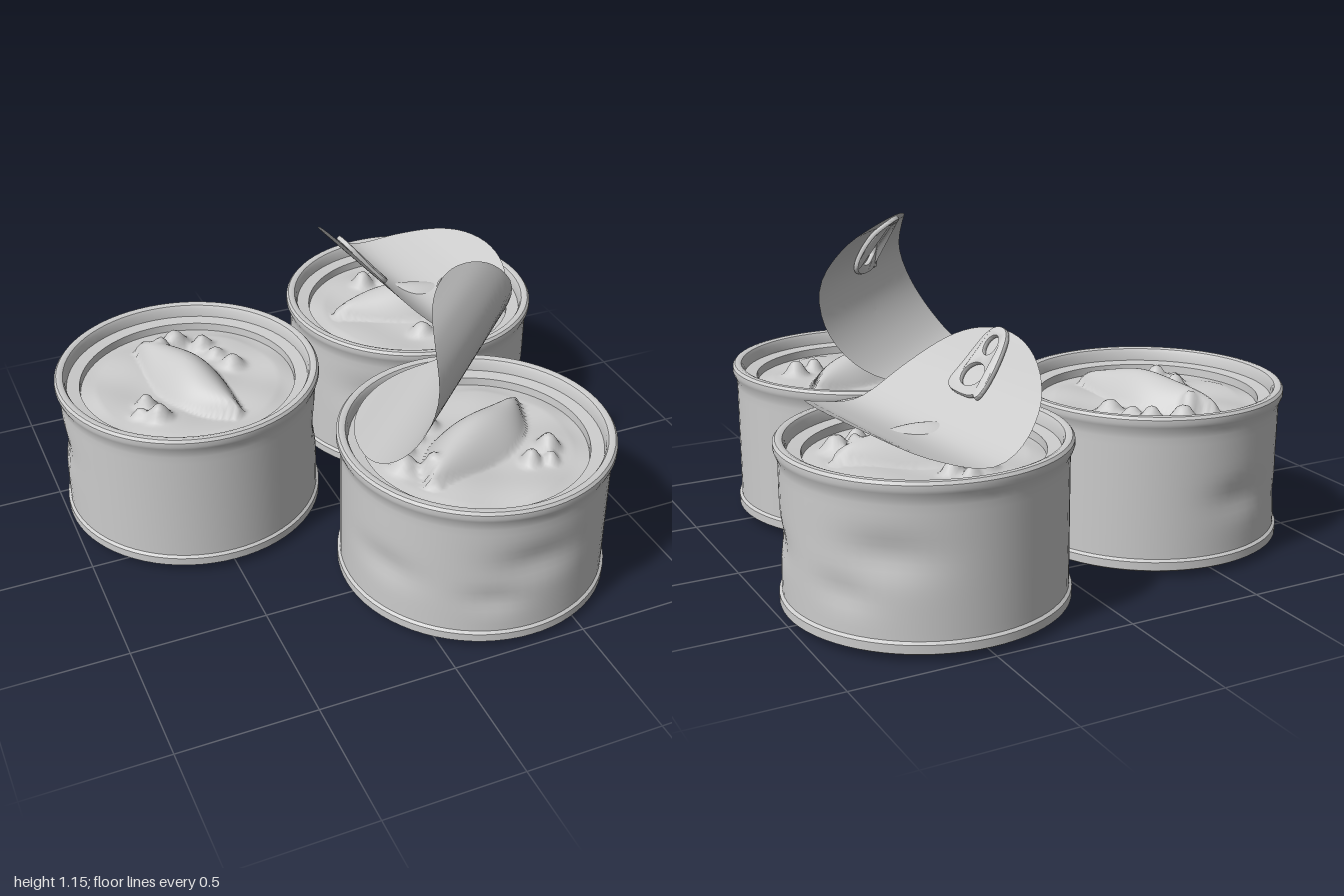
import * as THREE from 'three';
import { mergeVertices, toCreasedNormals } from 'three/addons/utils/BufferGeometryUtils.js';

const metal = new THREE.MeshStandardMaterial({ color: 0xcccccc });
const sheet = new THREE.MeshStandardMaterial({ color: 0xcccccc, side: THREE.DoubleSide });
const LID_R = 0.445;

// Apply a rule to every vertex
function deform(geo, rule) {
  const p = geo.attributes.position;
  const v = new THREE.Vector3();
  for (let i = 0; i < p.count; i++) {
    rule(v.fromBufferAttribute(p, i));
    p.setXYZ(i, v.x, v.y, v.z);
  }
  return geo;
}

function named(name, geo, mat) {
  const m = new THREE.Mesh(geo, mat);
  m.name = name;
  return m;
}

// Finely divided flat disc facing up
function disc(r, rings, segs) {
  const g = new THREE.RingGeometry(0.0005, r, segs, rings).rotateX(-Math.PI / 2);
  g.deleteAttribute('uv');
  g.deleteAttribute('normal');
  return mergeVertices(g);
}

// Can shell: domed base, bottom bead, dented wall, rolled rim, inner ledge
function shellGeometry() {
  const pts = [[0, 0], [0.12, 0.003], [0.25, 0.012], [0.35, 0.02], [0.478, 0.022],
    [0.491, 0.03], [0.491, 0.06], [0.481, 0.068]];
  for (let i = 1; i <= 16; i++) pts.push([0.481, 0.068 + i * 0.0275]);
  pts.push([0.483, 0.53], [0.492, 0.55], [0.496, 0.562], [0.495, 0.578], [0.487, 0.588],
    [0.475, 0.59], [0.463, 0.585], [0.456, 0.572], [0.452, 0.54], [0.405, 0.535], [0.4, 0.47]);
  const g = new THREE.LatheGeometry(pts.map(p => new THREE.Vector2(...p)), 72);
  // angle, height, angular width, height spread, depth
  const dents = [[3.39, 0.34, 0.3, 0.07, 0.02], [0.24, 0.35, 0.3, 0.08, 0.02],
    [-1.75, 0.26, 0.25, 0.06, 0.014], [3.7, 0.2, 0.2, 0.05, 0.012]];
  deform(g, v => {
    const r = Math.hypot(v.x, v.z);
    if (r < 0.47 || v.y < 0.07 || v.y > 0.52) return;
    const a = Math.atan2(v.z, v.x);
    let d = 0;
    for (const [da, dy, wa, wy, depth] of dents) {
      const t = Math.atan2(Math.sin(a - da), Math.cos(a - da)) / wa;
      d += depth * Math.exp(-t * t - ((v.y - dy) / wy) ** 2);
    }
    const k = 1 - d * Math.min(1, (v.y - 0.068) / 0.05) / r;
    v.x *= k;
    v.z *= k;
  });
  return toCreasedNormals(g, 0.6);
}

// Food: gently uneven surface with one long fillet and small chunks
function foodGeometry() {
  const chunks = [[0.04, -0.29, 0.045, 0.06], [-0.02, -0.24, 0.03, 0.04], [-0.19, 0.09, 0.032, 0.05],
    [-0.17, 0.19, 0.038, 0.055], [0.13, -0.23, 0.035, 0.05], [0.2, -0.06, 0.04, 0.045],
    [0.16, -0.15, 0.03, 0.03], [-0.23, 0.15, 0.025, 0.035]];
  const c = Math.cos(1.164), s = Math.sin(1.164);
  const g = deform(disc(0.404, 40, 96), v => {
    const r = Math.hypot(v.x, v.z);
    let y = 0.512 + 0.008 * Math.sin(v.x * 17 + 1) * Math.cos(v.z * 15);
    for (const [x, z, w, h] of chunks) {
      y += h * Math.exp(-((((v.x - x) ** 2 + (v.z - z) ** 2) / (w * w)) ** 1.5));
    }
    const p = v.x * c + v.z * s, q = v.z * c - v.x * s - 0.025 * Math.sin(p * 8);
    const k = 1 - (p / 0.33) ** 2;
    if (k > 0.01) y += 0.1 * Math.sqrt(k) * Math.max(0, 1 - (q / (0.13 * k)) ** 2);
    const edge = Math.min(1, (0.404 - r) / 0.06);
    v.y = 0.505 + (y - 0.505) * edge;
  });
  g.computeVertexNormals();
  return g;
}

// Pull tab outline with two finger openings, laid flat along +x
function tabGeometry() {
  const shape = new THREE.Shape();
  shape.moveTo(0.18, -0.075);
  shape.bezierCurveTo(0.15, -0.105, 0.19, -0.1, 0.25, -0.09);
  shape.bezierCurveTo(0.37, -0.07, 0.44, -0.06, 0.44, 0);
  shape.bezierCurveTo(0.44, 0.06, 0.37, 0.07, 0.25, 0.09);
  shape.bezierCurveTo(0.19, 0.1, 0.165, 0.09, 0.165, 0);
  shape.bezierCurveTo(0.165, -0.04, 0.165, -0.06, 0.18, -0.075);
  for (const [x, rx, ry] of [[0.245, 0.055, 0.062], [0.37, 0.045, 0.038]]) {
    shape.holes.push(new THREE.Path().absellipse(x, 0, rx, ry, 0, Math.PI * 2, true));
  }
  const g = new THREE.ExtrudeGeometry(shape, {
    depth: 0.008, bevelThickness: 0.006, bevelSize: 0.006, bevelSegments: 2, curveSegments: 14,
  });
  return g.rotateX(-Math.PI / 2).translate(0, 0.008, 0);
}

// Peeled lid: a disc and its pull tab bent along a side profile
function peeledLid(profile, angle) {
  const curve = new THREE.CatmullRomCurve3(profile.map(([u, h]) => new THREE.Vector3(u, h, 0)));
  const bend = v => {
    const t = THREE.MathUtils.clamp((v.x + LID_R) / (2 * LID_R), 0, 1);
    const p = curve.getPointAt(t), d = curve.getTangentAt(t);
    const lift = v.y;
    v.x = p.x - d.y * lift;
    v.y = p.y + d.x * lift;
  };
  const lidGeo = deform(disc(LID_R, 24, 64), bend);
  lidGeo.computeVertexNormals();
  const tabGeo = toCreasedNormals(deform(tabGeometry(), bend), 0.7);
  const group = new THREE.Group();
  group.name = 'peeledLid';
  group.add(named('lidSheet', lidGeo, sheet), named('pullTab', tabGeo, sheet));
  group.rotation.y = angle;
  return group;
}

export function createModel() {
  const model = new THREE.Group();
  model.name = 'openCans';
  const shell = shellGeometry(), food = foodGeometry();

  // x, z, turn of body and contents
  const cans = [[-0.505, -0.295, 0], [0.505, -0.5, -2.02], [0.31, 0.49, 1.82]];
  // lid side profile (outward, height) and heading
  const lids = [
    null,
    [[[-0.37, 0.72], [-0.2, 0.635], [0, 0.6], [0.18, 0.72], [0.32, 0.89]], Math.PI + 0.1],
    [[[-0.43, 0.59], [-0.26, 0.61], [-0.13, 0.7], [-0.04, 0.83], [-0.015, 0.96],
      [-0.07, 1.08], [-0.15, 1.155]], -Math.PI / 4],
  ];

  cans.forEach(([x, z, turn], i) => {
    const can = new THREE.Group();
    can.name = ['closedUpCan', 'foldedLidCan', 'raisedLidCan'][i];
    const body = new THREE.Group();
    body.name = 'canBody';
    body.rotation.y = turn;
    body.add(named('canShell', shell, metal), named('food', food, metal));
    can.add(body);
    if (lids[i]) can.add(peeledLid(...lids[i]));
    can.position.set(x, 0, z);
    model.add(can);
  });
  return model;
}
